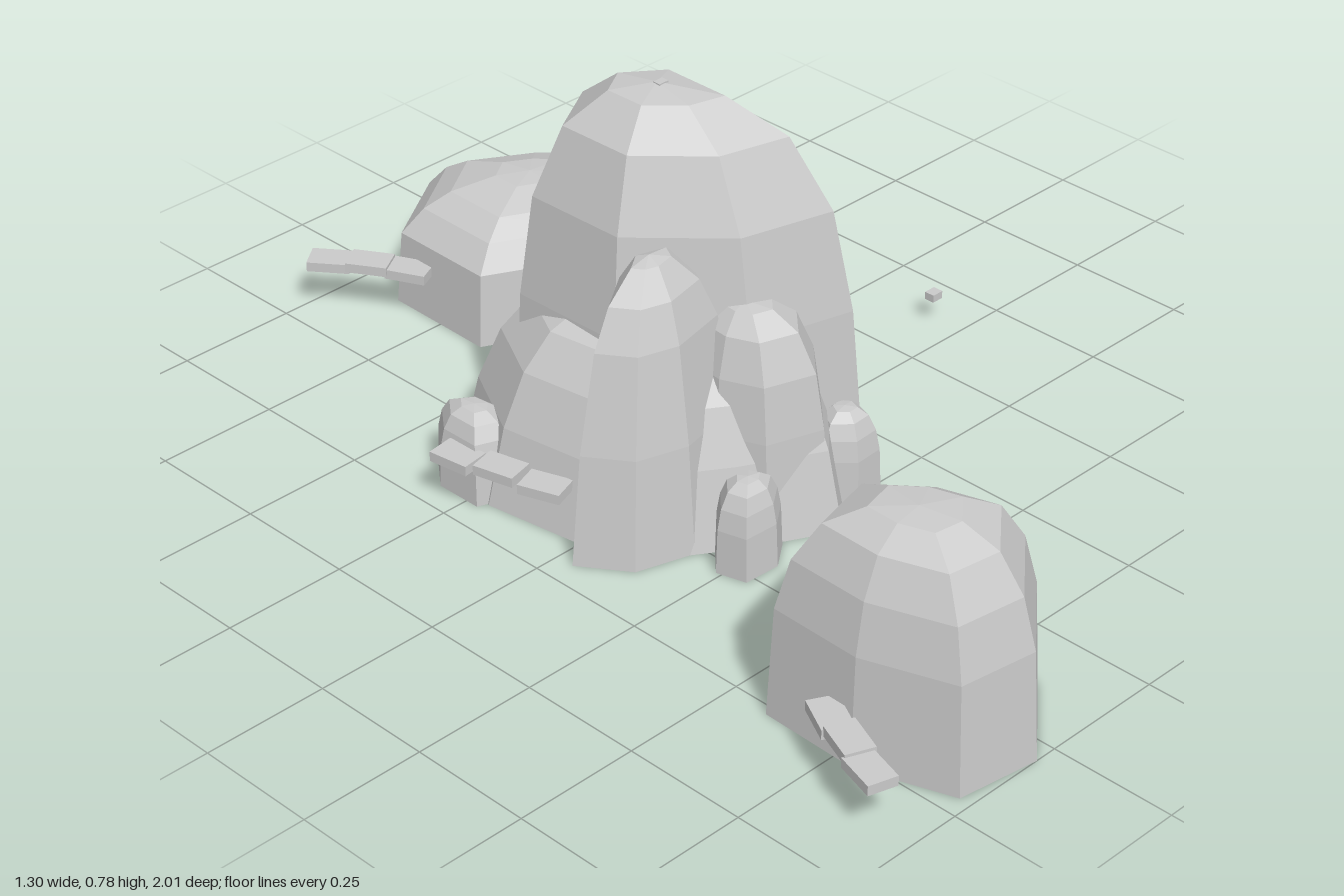
import * as THREE from 'three';

// Profiles from the ground up: [scale of footprint, fraction of height]
const DOME = [[1, 0], [0.95, 0.5], [0.84, 0.73], [0.64, 0.9], [0.34, 0.985]];
const LOW = [[1, 0], [0.95, 0.58], [0.78, 0.77], [0.58, 0.89], [0.25, 0.985]];
const TAPER = [[1, 0], [0.93, 0.46], [0.83, 0.72], [0.62, 0.9], [0.32, 0.985]];
const CONE = [[1, 0], [0.91, 0.4], [0.8, 0.67], [0.66, 0.85], [0.45, 0.97]];
const SHARP = [[1, 0], [0.88, 0.4], [0.68, 0.75], [0.5, 0.89], [0.22, 0.985]];

// Open-bottomed rock: footprint points [x, z] shrink towards the peak
function rockGeometry(footprint, peak, height, profile) {
  const n = footprint.length, pos = [], idx = [];
  for (const [s, t] of profile)
    for (const [x, z] of footprint)
      pos.push(peak[0] + (x - peak[0]) * s, height * t, peak[1] + (z - peak[1]) * s);
  pos.push(peak[0], height, peak[1]);
  const tip = profile.length * n;
  for (let r = 0; r < profile.length; r++)
    for (let i = 0; i < n; i++) {
      const j = (i + 1) % n, a = r * n + i, b = r * n + j;
      if (r === profile.length - 1) idx.push(a, tip, b);
      else idx.push(a, a + n, b + n, a, b + n, b);
    }
  const g = new THREE.BufferGeometry();
  g.setAttribute('position', new THREE.Float32BufferAttribute(pos, 3));
  g.setIndex(idx);
  g.computeVertexNormals();
  return g;
}

// Slightly uneven small footprint
function smallFootprint(cx, cz, rx, rz, turn) {
  return [1, 0.9, 1.05, 0.92, 1, 0.95].map((k, i) => {
    const a = turn + i * Math.PI / 3;
    return [cx + Math.cos(a) * rx * k, cz + Math.sin(a) * rz * k];
  });
}

export function createModel() {
  const group = new THREE.Group();
  const stone = new THREE.MeshStandardMaterial({ color: 0xcacaca, flatShading: true, side: THREE.DoubleSide });
  stone.name = 'light grey stone';

  const add = (name, geometry, parent = group) => {
    const m = new THREE.Mesh(geometry, stone);
    m.name = name;
    parent.add(m);
    return m;
  };

  // Large rocks: name, peak, height, profile, footprint
  const rocks = [
    ['backRock', [0.17, -0.73], 0.265, LOW,
      [[0.125, -1], [0.33, -0.875], [0.49, -0.7], [0.35, -0.54], [0.17, -0.51], [-0.065, -0.63], [-0.06, -0.88]]],
    ['tallRock', [-0.07, -0.12], 0.778, TAPER,
      [[-0.1, -0.4], [0.125, -0.225], [0.125, 0.22], [-0.1, 0.16], [-0.28, -0.03], [-0.285, -0.29]]],
    ['baseRock', [-0.05, -0.09], 0.395, CONE,
      [[0, -0.45], [0.255, -0.255], [0.225, 0.07], [-0.03, 0.31], [-0.2, 0.22], [-0.38, 0.1], [-0.425, -0.21], [-0.33, -0.39]]],
    ['middleRock', [-0.09, 0.12], 0.435, TAPER,
      [[0.035, 0.02], [0.06, 0.18], [-0.03, 0.275], [-0.15, 0.235], [-0.19, 0.14], [-0.18, 0.02]]],
    ['sideRock', [-0.24, 0.03], 0.555, SHARP,
      [[-0.28, -0.08], [-0.02, 0], [-0.09, 0.13], [-0.27, 0.17], [-0.385, 0.135], [-0.45, 0.04]]],
    ['frontRock', [-0.36, 0.78], 0.44, DOME,
      [[-0.52, 0.59], [-0.315, 0.54], [-0.19, 0.69], [-0.135, 0.865], [-0.295, 1], [-0.46, 0.975], [-0.525, 0.79]]],
    ['frontCompanionRock', [-0.2, 0.68], 0.275, DOME,
      [[-0.31, 0.57], [-0.2, 0.55], [-0.11, 0.64], [-0.055, 0.745], [-0.155, 0.8], [-0.3, 0.79]]],
  ];
  for (const [name, peak, height, profile, footprint] of rocks)
    add(name, rockGeometry(footprint, peak, height, profile));

  // Small rocks around the base: x, z, radii, height, turn
  [[-0.385, -0.285, 0.07, 0.1, 0.17, 0.4], [-0.215, 0.25, 0.078, 0.062, 0.18, 0.2],
    [0.073, 0.215, 0.068, 0.07, 0.182, 0.9], [0.172, -0.285, 0.055, 0.045, 0.175, 0.6]]
    .forEach(([x, z, rx, rz, h, turn], i) =>
      add('smallRock' + (i + 1), rockGeometry(smallFootprint(x, z, rx, rz, turn), [x, z], h, DOME)));

  // Rows of three flat slabs: start and end centres
  [[-0.55, 0.765, -0.61, 0.91], [-0.08, -0.815, -0.165, -0.955], [-0.46, -0.25, -0.415, -0.065]]
    .forEach(([x0, z0, x1, z1], k) => {
      const row = new THREE.Group();
      row.name = 'slabRow' + (k + 1);
      group.add(row);
      const angle = Math.atan2(x1 - x0, z1 - z0);
      for (let i = 0; i < 3; i++) {
        const slab = add('slab', new THREE.BoxGeometry(0.058, 0.02, 0.085), row);
        slab.position.set(x0 + (x1 - x0) * i / 2, 0.104 + (i % 2) * 0.006, z0 + (z1 - z0) * i / 2);
        slab.rotation.y = angle + (i - 1) * 0.1;
      }
    });

  // Loose pebbles
  add('pebble', new THREE.BoxGeometry(0.026, 0.016, 0.022)).position.set(0.635, 0.057, -0.067);
  add('topPebble', new THREE.BoxGeometry(0.022, 0.012, 0.016)).position.set(-0.065, 0.773, -0.115);

  return group;
}
